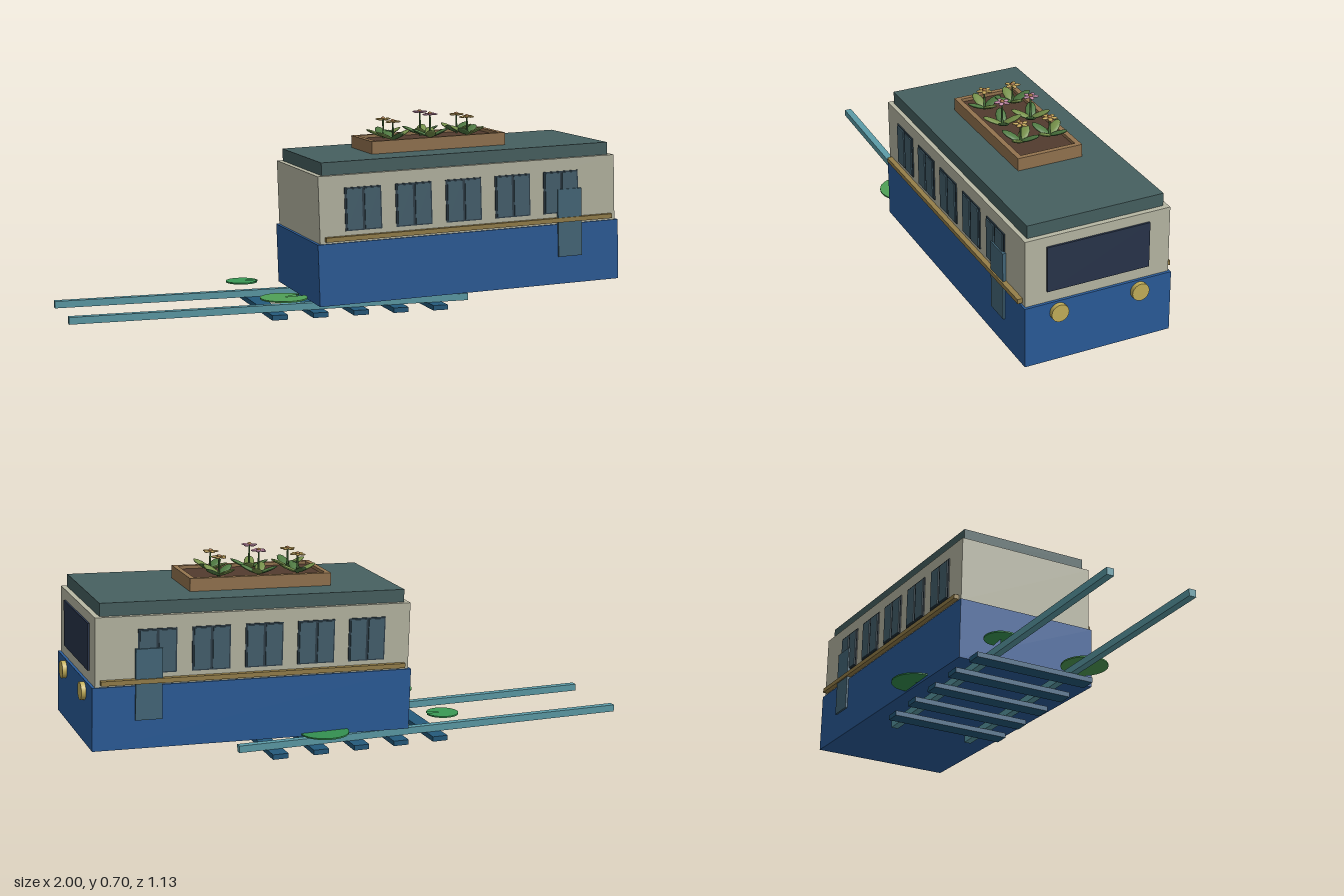
import * as THREE from 'three';

const mats = {};
const mat = (color, double = false) => {
  const key = color + (double ? 'd' : '');
  mats[key] ??= new THREE.MeshStandardMaterial({ color, side: double ? THREE.DoubleSide : THREE.FrontSide });
  return mats[key];
};

function add(parent, name, geometry, color, x = 0, y = 0, z = 0, double = false) {
  const mesh = new THREE.Mesh(geometry, mat(color, double));
  mesh.name = name;
  mesh.position.set(x, y, z);
  parent.add(mesh);
  return mesh;
}

// Box given by its centre in x and z and by its bottom and top heights
const box = (parent, name, color, x, y0, y1, z, w, d) =>
  add(parent, name, new THREE.BoxGeometry(w, y1 - y0, d), color, x, (y0 + y1) / 2, z);

function group(parent, name, x = 0, y = 0, z = 0) {
  const g = new THREE.Group();
  g.name = name;
  g.position.set(x, y, z);
  parent.add(g);
  return g;
}

const YAW = -0.349;

function buildCarriage(root) {
  const car = group(root, 'carriage', 0.37, 0.076, 0.12);
  car.rotation.set(0, YAW, 0.035);

  // Stacked shell
  box(car, 'lowerBody', 0x2a5c9a, 0, 0, 0.218, 0, 1.14, 0.53);
  box(car, 'upperBody', 0xb8b8a4, 0, 0.218, 0.455, 0, 1.12, 0.518);
  box(car, 'roof', 0x466060, 0, 0.455, 0.5, 0, 1.083, 0.486);

  // Front window and headlights
  box(car, 'frontWindow', 0x28344a, 0.56, 0.258, 0.42, 0, 0.014, 0.367);
  for (const side of [-1, 1]) {
    const lamp = add(car, 'headlight', new THREE.CylinderGeometry(0.031, 0.031, 0.024, 20), 0xc4b05a, 0.574, 0.18, side * 0.146);
    lamp.rotation.z = Math.PI / 2;
  }

  // Side windows, trim and hanging door pane
  for (const side of [-1, 1]) {
    for (let i = 0; i < 5; i++) {
      const x = -0.4 + i * 0.187;
      box(car, 'windowFrame', 0x2c3d48, x, 0.258, 0.41, side * 0.259, 0.134, 0.008);
      for (const half of [-1, 1])
        box(car, 'windowPane', 0x44606e, x + half * 0.033, 0.263, 0.405, side * 0.262, 0.056, 0.01);
    }
    box(car, 'sideTrim', 0x96804a, 0, 0.226, 0.242, side * 0.264, 1.085, 0.026);
    box(car, 'doorPane', 0x44687a, 0.378, 0.1, 0.345, side * 0.266, 0.092, 0.012);
  }
  buildPlanter(car);
}

function buildPlanter(car) {
  const planter = group(car, 'planter', -0.055, 0.5, -0.01);
  const L = 0.51, W = 0.236, T = 0.018;
  for (const s of [-1, 1]) {
    box(planter, 'planterLongWall', 0x94744f, 0, 0, 0.045, s * (W - T) / 2, L, T);
    box(planter, 'planterEndWall', 0x94744f, s * (L - T) / 2, 0, 0.045, 0, T, W - 2 * T);
  }
  box(planter, 'soil', 0x523b2e, 0, 0, 0.034, 0, L - 2 * T, W - 2 * T);

  for (let i = 0; i < 6; i++) {
    const col = i % 3, row = Math.floor(i / 3);
    const plant = group(planter, 'plant', (col - 1) * 0.143 - 0.008, 0.034, row ? 0.05 : -0.057);
    plant.rotation.y = i * 1.1;
    buildPlant(plant, col === 1 ? 0.088 : 0.07, (i + row) % 2 ? 0xc48aa8 : 0xc9a95c);
  }
}

function buildPlant(plant, height, color) {
  // Splayed oval leaves
  for (let k = 0; k < 4; k++) {
    const arm = group(plant, 'leafArm', 0, 0.006, 0);
    arm.rotation.set(0, k * Math.PI / 2, 0.42);
    const leaf = add(arm, 'leaf', new THREE.SphereGeometry(1, 10, 6), k % 2 ? 0x4f7a42 : 0x76914a, 0.036);
    leaf.scale.set(0.037, 0.006, 0.019);
  }
  // Stem and bloom
  add(plant, 'stem', new THREE.CylinderGeometry(0.003, 0.004, height, 6), 0x4f7a42, 0, height / 2, 0);
  for (let k = 0; k < 5; k++) {
    const a = k * Math.PI * 0.4;
    const petal = add(plant, 'petal', new THREE.SphereGeometry(1, 8, 5), color, Math.cos(a) * 0.016, height, -Math.sin(a) * 0.016);
    petal.scale.set(0.013, 0.004, 0.008);
    petal.rotation.y = a;
  }
  const heart = add(plant, 'flowerCentre', new THREE.SphereGeometry(0.008, 8, 6), 0x9a6a3a, 0, height + 0.003, 0);
  heart.scale.y = 0.75;
}

function buildTrack(root) {
  const track = group(root, 'track', -0.26, 0, -0.163);
  track.rotation.y = YAW;
  for (const side of [-1, 1])
    box(track, 'rail', 0x5c9ca8, 0, 0.018, 0.043, side * 0.152, 1.46, 0.026);
  for (let i = 0; i < 5; i++)
    box(track, 'sleeper', 0x245a7c, i * 0.15, 0, 0.018, 0, 0.056, 0.45);
}

function buildLilyPads(root) {
  // Position, radius, notch direction, colour
  const pads = [
    [-0.322, 0.05, 0.083, 1.6, 0x4fa056],
    [-0.25, -0.312, 0.058, 0.95, 0x3a9a55],
    [0.225, -0.22, 0.085, -1.3, 0x349050],
  ];
  for (const [x, z, r, dir, color] of pads) {
    const disc = new THREE.CylinderGeometry(r, r, 0.005, 28, 1, false, dir + 0.2, Math.PI * 2 - 0.4);
    add(root, 'lilyPad', disc, color, x, 0.078, z, true);
  }
}

export function createModel() {
  const root = new THREE.Group();
  root.name = 'gardenTram';
  buildCarriage(root);
  buildTrack(root);
  buildLilyPads(root);
  return root;
}
